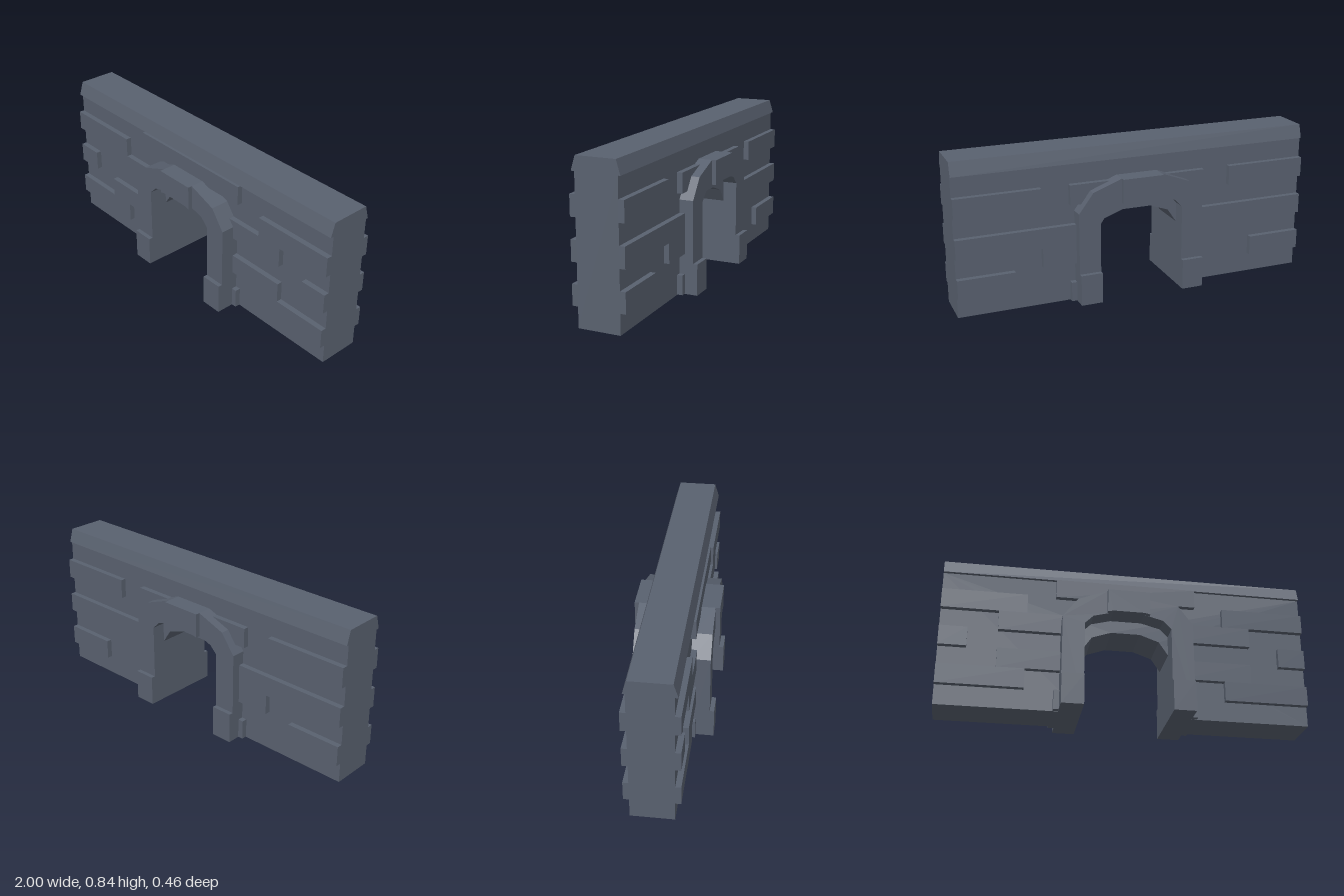
import * as THREE from 'three';

export function createModel() {
  const model = new THREE.Group();
  model.name = 'archedWall';
  const stone = new THREE.MeshStandardMaterial({ color: 0x59616f, flatShading: true });
  stone.name = 'slateStone';

  const add = (name, geometry, parent = model) => {
    const mesh = new THREE.Mesh(geometry, stone);
    mesh.name = name;
    parent.add(mesh);
    return mesh;
  };

  // Box given by its limits on each axis
  const block = (name, x0, x1, y0, y1, z0, z1, parent) =>
    add(name, new THREE.BoxGeometry(x1 - x0, y1 - y0, z1 - z0), parent)
      .position.set((x0 + x1) / 2, (y0 + y1) / 2, (z0 + z1) / 2);

  // Closed outline in x, y extruded between two depths
  const slab = (name, points, z0, z1, parent) => {
    const shape = new THREE.Shape(points.map(p => new THREE.Vector2(...p)));
    const geometry = new THREE.ExtrudeGeometry(shape, { depth: z1 - z0, bevelEnabled: false });
    geometry.translate(0, 0, z0);
    return add(name, geometry, parent);
  };

  // Mirror a half arch, listed from left foot to crown, into a full one
  const mirrored = half => [...half, ...half.map(([x, y]) => [-x, y]).reverse()];

  const FRONT = 0.1, BACK = -0.127, TOP = 0.765, ROW = 0.1093;

  // Wall core with the passage cut through it
  const passage = mirrored([[-0.235, 0], [-0.235, 0.365], [-0.185, 0.44], [-0.08, 0.477]]);
  slab('wallCore', [[-1, 0], ...passage, [1, 0], [1, TOP], [-1, TOP]], BACK, FRONT);

  // Sloped coping, drawn as a z, y section and swept along x
  const section = new THREE.Shape([[-0.118, TOP], [0.14, TOP], [0.118, 0.84], [-0.095, 0.84]]
    .map(p => new THREE.Vector2(...p)));
  const coping = new THREE.ExtrudeGeometry(section, { depth: 2, bevelEnabled: false });
  coping.translate(0, 0, -1);
  coping.rotateY(Math.PI / 2);
  add('coping', coping);

  // Raised courses: row number, then start and end in x, repeated on both halves
  const courses = {
    front: [[0, 0.3, 0.385], [1, 0.54, 1], [2, 0.3, 0.69], [3, 0.85, 1],
      [4, 0.3, 0.69], [5, 0.54, 1], [6, 0, 0.385]],
    back: [[0, 0.3, 0.385], [1, 0.69, 1], [2, 0.3, 0.54], [3, 0.3, 1],
      [5, 0, 0.385], [5, 0.54, 1]],
  };
  for (const [side, rows] of Object.entries(courses)) {
    const bricks = new THREE.Group();
    bricks.name = side + 'Bricks';
    model.add(bricks);
    const [z0, z1] = side === 'front' ? [FRONT - 0.01, 0.13] : [-0.157, BACK + 0.01];
    for (const [row, x0, x1] of rows) {
      const y0 = row * ROW + (row ? 0 : 0.002), y1 = (row + 1) * ROW - (row === 6 ? 0.003 : 0);
      if (x0 === 0) block('centreBrick', -x1, x1, y0, y1, z0, z1, bricks);
      else {
        block('leftBrick', x0, x1, y0, y1, z0, z1, bricks);
        block('rightBrick', -x1, -x0, y0, y1, z0, z1, bricks);
      }
    }
  }

  // Arch surround, foot blocks and keystone on each face
  const outer = mirrored([[-0.355, 0], [-0.355, 0.507], [-0.275, 0.615], [-0.115, 0.675]]);
  const inner = mirrored([[-0.235, 0], [-0.235, 0.475], [-0.19, 0.52], [-0.085, 0.548]]);
  const keystone = [[-0.115, 0.675], [-0.115, 0.541], [-0.085, 0.548],
    [0.085, 0.548], [0.115, 0.541], [0.115, 0.675]];
  for (const side of ['front', 'back']) {
    const arch = new THREE.Group();
    arch.name = side + 'Arch';
    model.add(arch);
    const depth = (inside, outside) => side === 'front' ? [inside, outside] : [-outside, -inside];
    const root = side === 'front' ? FRONT : -BACK;
    slab('archSurround', [...outer, ...[...inner].reverse()], ...depth(root, 0.204), arch);
    slab('keystone', keystone, ...depth(0.2, 0.228), arch);
    for (const x of [-0.355, 0.235])
      block('footBlock', x, x + 0.12, 0, 0.17, ...depth(0.19, 0.228), arch);
  }
  return model;
}
